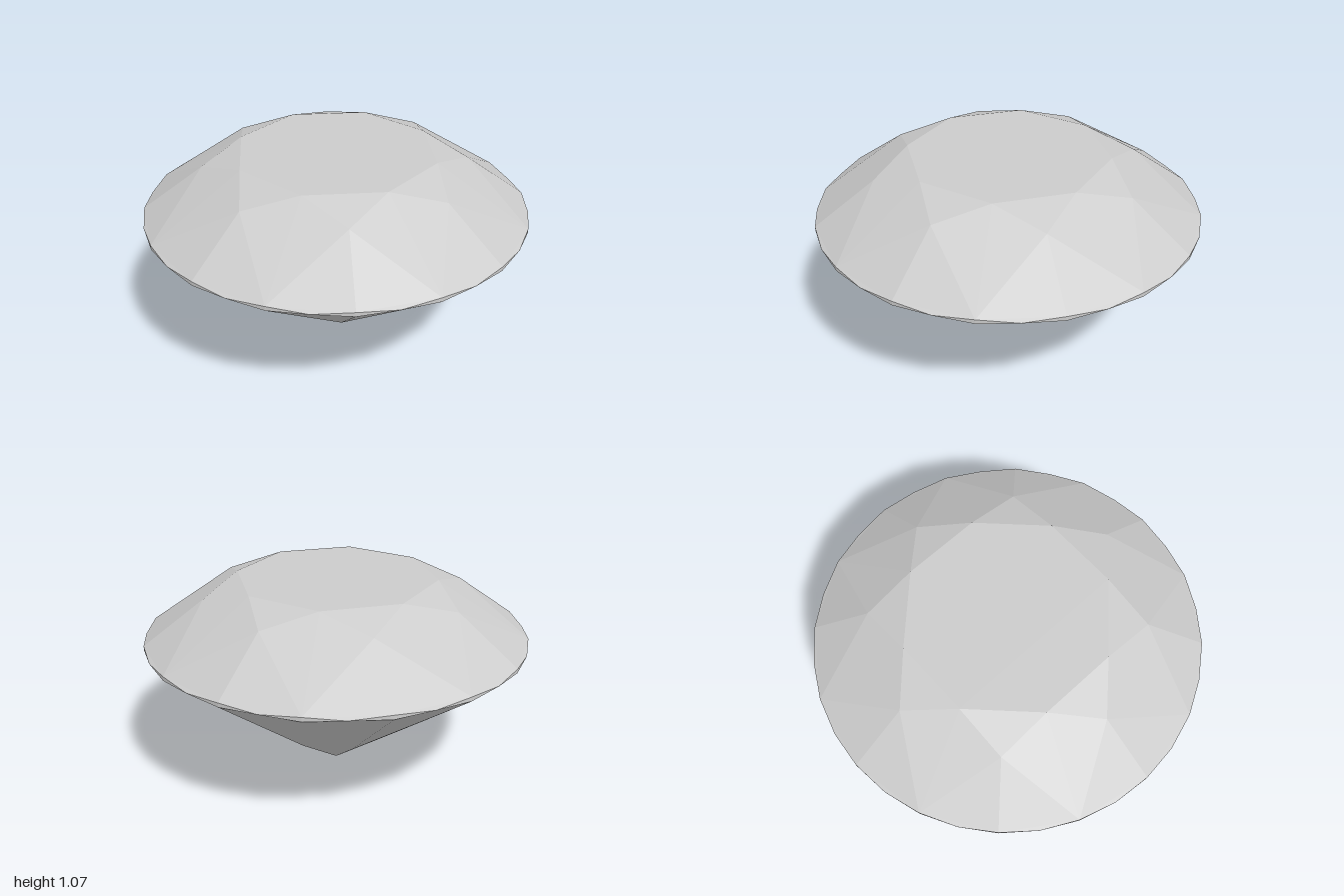
import * as THREE from 'three';

const STEP = Math.PI / 16; // the girdle has 32 points, two per half facet
const CENTRE = new THREE.Vector3(0, 0.7, 0);

// Point on a ring: index in 32nds of a turn, radius, height
const ring = (i, r, y) => new THREE.Vector3(r * Math.cos(i * STEP), y, r * Math.sin(i * STEP));

// Flat-shaded mesh from convex facets, each fanned and turned to face outward
function facetMesh(name, facets) {
  const points = [];
  for (const f of facets) {
    for (let k = 1; k < f.length - 1; k++) {
      const [a, b, c] = [f[0], f[k], f[k + 1]];
      const normal = b.clone().sub(a).cross(c.clone().sub(a));
      const outward = normal.dot(a.clone().sub(CENTRE)) > 0;
      points.push(...(outward ? [a, b, c] : [a, c, b]));
    }
  }
  const geometry = new THREE.BufferGeometry().setFromPoints(points);
  geometry.computeVertexNormals();
  const mesh = new THREE.Mesh(
    geometry,
    new THREE.MeshStandardMaterial({ color: 0xcccccc, flatShading: true })
  );
  mesh.name = name;
  return mesh;
}

export function createModel() {
  // Key points of the cut
  const table = i => ring(i, 0.525, 1.07);
  const starTip = i => ring(i, 0.687, 1.0);
  const upper = i => ring(i, 1, i % 2 ? 0.765 : 0.777); // scalloped girdle edges
  const lower = i => ring(i, 1, i % 2 ? 0.764 : 0.755);
  const ridge = i => ring(i, 0.34, 0.226);
  const culet = i => ring(i, 0.022, 0);

  const tableFacet = [], culetFacet = [];
  const stars = [], kites = [], upperHalves = [];
  const girdle = [], mains = [], lowerHalves = [];

  for (let i = 0; i < 32; i += 4) {
    tableFacet.push(table(i + 2));
    culetFacet.push(culet(i));
    stars.push([starTip(i), table(i - 2), table(i + 2)]);
    kites.push([table(i + 2), starTip(i), upper(i + 2), starTip(i + 4)]);
    mains.push([culet(i), ridge(i), lower(i + 2), ridge(i + 4), culet(i + 4)]);

    // Half facets on both sides of each star tip and pavilion ridge
    for (const s of [-1, 1]) {
      const [a, b, c] = [i, i + s, i + 2 * s];
      upperHalves.push([starTip(i), upper(a), upper(c)], [upper(a), upper(b), upper(c)]);
      lowerHalves.push([ridge(i), lower(a), lower(c)], [lower(a), lower(b), lower(c)]);
      girdle.push([upper(a), upper(b), lower(b), lower(a)], [upper(b), upper(c), lower(c), lower(b)]);
    }
  }

  const crown = new THREE.Group();
  crown.name = 'crown';
  crown.add(
    facetMesh('table', [tableFacet]),
    facetMesh('starFacets', stars),
    facetMesh('kiteFacets', kites),
    facetMesh('upperHalfFacets', upperHalves)
  );

  const pavilion = new THREE.Group();
  pavilion.name = 'pavilion';
  pavilion.add(
    facetMesh('mainFacets', mains),
    facetMesh('lowerHalfFacets', lowerHalves),
    facetMesh('culet', [culetFacet])
  );

  const gem = new THREE.Group();
  gem.name = 'gemstone';
  gem.add(crown, facetMesh('girdle', girdle), pavilion);
  return gem;
}
